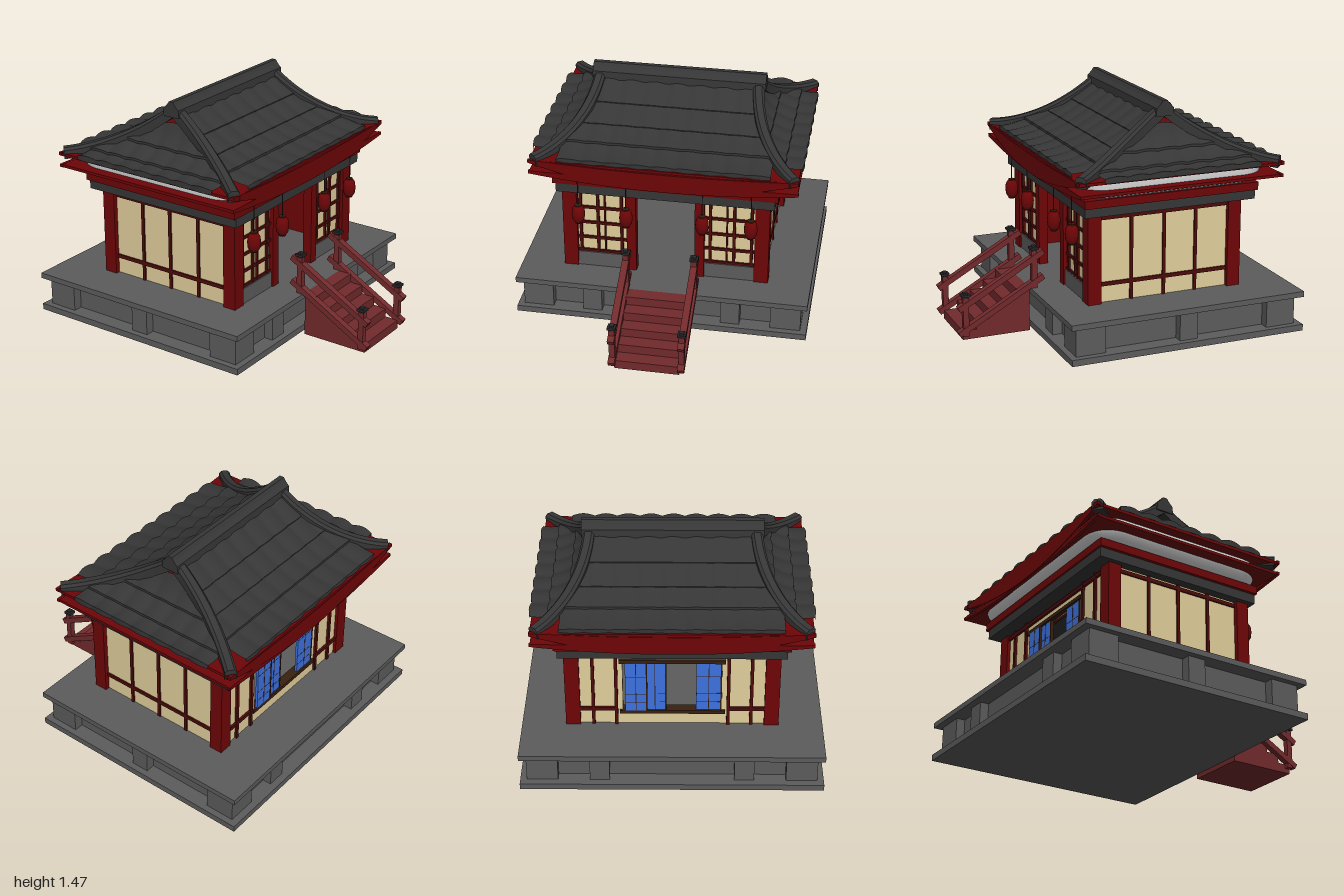
import * as THREE from 'three';
import { toCreasedNormals } from 'three/addons/utils/BufferGeometryUtils.js';

const paint = (name, color, side = THREE.FrontSide) => {
  const m = new THREE.MeshStandardMaterial({ color, side });
  m.name = name;
  return m;
};

export function createModel() {
  const stone = paint('stone', 0x5c5c5c);
  const tile = paint('roofTile', 0x363636, THREE.DoubleSide);
  const red = paint('redWood', 0x6e0507, THREE.DoubleSide);
  const lattice = paint('latticeWood', 0x4c0b09);
  const paper = paint('paper', 0xe2cf9c);
  const stairRed = paint('stairWood', 0x722a2c);
  const blue = paint('blueShutter', 0x3d72e0);
  const plaster = paint('plaster', 0xf0f0f0, THREE.DoubleSide);
  const brown = paint('darkBrown', 0x38200f);
  const iron = paint('iron', 0x2b2b2d);

  const model = new THREE.Group();
  const add = (name, geo, mat) => {
    const m = new THREE.Mesh(geo, mat);
    m.name = name;
    model.add(m);
    return m;
  };
  // Box given by its limits on each axis
  const box = (name, mat, x0, x1, y0, y1, z0, z1) => {
    const m = add(name, new THREE.BoxGeometry(x1 - x0, y1 - y0, z1 - z0), mat);
    m.position.set((x0 + x1) / 2, (y0 + y1) / 2, (z0 + z1) / 2);
    return m;
  };
  const SIDES = [-1, 1];

  // Grid surface from a rule at(i, j), used for roof sheets and lofts
  const grid = (ni, nj, at, crease = 0.6) => {
    const pos = [], idx = [];
    for (let j = 0; j <= nj; j++) for (let i = 0; i <= ni; i++) pos.push(...at(i, j));
    for (let j = 0; j < nj; j++) for (let i = 0; i < ni; i++) {
      const a = j * (ni + 1) + i, b = a + 1, c = a + ni + 1, d = c + 1;
      idx.push(a, b, d, a, d, c);
    }
    const g = new THREE.BufferGeometry();
    g.setAttribute('position', new THREE.Float32BufferAttribute(pos, 3));
    g.setIndex(idx);
    return toCreasedNormals(g, crease);
  };

  // ---- Stone platform ----
  box('platformBase', stone, -0.92, 0.92, 0.03, 0.07, -1, 0.53);
  box('platformTop', stone, -0.92, 0.92, 0.25, 0.285, -1, 0.53);
  box('platformCore', stone, -0.82, 0.82, 0.07, 0.25, -0.9, 0.43);
  for (const s of SIDES) {
    for (const [z0, z1] of [[-0.955, -0.765], [0.3, 0.49]])
      box('platformCorner', stone, s * 0.785 - 0.095, s * 0.785 + 0.095, 0.07, 0.25, z0, z1);
    box('platformSideBlock', stone, s * 0.83 - 0.05, s * 0.83 + 0.05, 0.07, 0.25, -0.295, -0.18);
    for (const z of [-0.905, 0.44])
      box('platformBlock', stone, s * 0.437 - 0.06, s * 0.437 + 0.06, 0.07, 0.25, z - 0.05, z + 0.05);
  }

  // ---- Stairs and railings ----
  for (let i = 0; i < 5; i++)
    box('step', stairRed, -0.2, 0.2, 0, 0.057 * (i + 1), 0.53, 0.965 - 0.087 * i);
  for (const s of SIDES) {
    const x = s * 0.213;
    for (const y of [0.2, 0.36]) {
      const rail = add('rail', new THREE.BoxGeometry(0.042, 0.036, 0.63), stairRed);
      rail.position.set(x, y, 0.72);
      rail.rotation.x = Math.atan2(0.315, 0.56);
    }
    for (const [z, y0, y1] of [[0.95, 0.03, 0.278], [0.505, 0.285, 0.525]]) {
      box('railPost', stairRed, x - 0.018, x + 0.018, y0, y1, z - 0.018, z + 0.018);
      box('postCap', iron, x - 0.026, x + 0.026, y1 + 0.008, y1 + 0.022, z - 0.026, z + 0.026);
      box('postNeck', iron, x - 0.014, x + 0.014, y1, y1 + 0.032, z - 0.014, z + 0.014);
    }
  }

  // ---- Walls ----
  const bar = (axis, p, a, b, y, w) => axis === 'x'
    ? box('latticeBar', lattice, a, b, y - w / 2, y + w / 2, p - 0.012, p + 0.012)
    : box('latticeBar', lattice, p - 0.012, p + 0.012, y - w / 2, y + w / 2, a, b);
  for (const s of SIDES) {
    for (const [z0, z1] of [[0.235, 0.32], [-0.69, -0.605]])
      box('cornerPost', red, s * 0.605 - 0.045, s * 0.605 + 0.045, 0.285, 0.85, z0, z1);
    // Side walls with a red lining indoors
    const x = s * 0.605;
    box('sidePanel', paper, x - 0.015, x + 0.015, 0.285, 0.85, -0.61, 0.24);
    box('sideLining', red, s * 0.58 - 0.008, s * 0.58 + 0.008, 0.285, 0.85, -0.64, 0.26);
    for (const z of [0.03, -0.185, -0.395])
      box('latticePost', lattice, s * 0.618 - 0.012, s * 0.618 + 0.012, 0.285, 0.85, z - 0.01, z + 0.01);
    for (const y of [0.4, 0.815]) bar('z', s * 0.618, -0.61, 0.24, y, 0.024);
    // Front panels
    const c = s * 0.4;
    box('doorPost', red, s * 0.215 - 0.03, s * 0.215 + 0.03, 0.285, 0.85, 0.26, 0.32);
    box('frontPlinth', stone, c - 0.16, c + 0.16, 0.285, 0.385, 0.25, 0.31);
    box('frontPanel', paper, c - 0.16, c + 0.16, 0.385, 0.85, 0.265, 0.29);
    for (const y of [0.392, 0.49, 0.6, 0.71, 0.82]) bar('x', 0.29, c - 0.16, c + 0.16, y, 0.018);
    for (const [v, w] of [[0.28, 0.018], [0.385, 0.01], [0.43, 0.018], [0.54, 0.018]])
      box('latticePost', lattice, s * v - w / 2, s * v + w / 2, 0.385, 0.85, 0.27, 0.305);
    // Back lattice posts
    for (const v of [0.34, 0.48])
      box('latticePost', lattice, s * v - 0.01, s * v + 0.01, 0.285, 0.85, -0.685, -0.65);
  }

  // Back wall around its window: paper outside, red lining indoors
  for (const [x0, x1, y0, y1] of [[-0.57, 0.57, 0.285, 0.385], [-0.57, 0.57, 0.742, 0.85],
    [-0.57, -0.3, 0.385, 0.742], [0.3, 0.57, 0.385, 0.742]]) {
    box('backPanel', paper, x0, x1, y0, y1, -0.67, -0.65);
    box('backLining', red, x0, x1, y0, y1, -0.65, -0.635);
  }
  for (const y of [0.4, 0.815]) {
    bar('x', -0.672, -0.57, -0.33, y, 0.024);
    bar('x', -0.672, 0.33, 0.57, y, 0.024);
  }
  bar('x', -0.672, -0.34, 0.34, 0.815, 0.024);
  for (const y of [0.378, 0.754])
    box('windowFrame', brown, -0.32, 0.32, y - 0.012, y + 0.012, -0.685, -0.625);
  for (const [x0, x1, z] of [[-0.295, -0.145, -0.665], [0.04, 0.17, -0.665], [0.155, 0.285, -0.677]]) {
    box('shutter', blue, x0, x1, 0.388, 0.742, z - 0.008, z + 0.008);
    box('shutterEdge', brown, x0 - 0.004, x0 + 0.004, 0.388, 0.742, z - 0.011, z + 0.011);
    const mid = (x0 + x1) / 2;
    box('shutterSeam', brown, mid - 0.002, mid + 0.002, 0.388, 0.742, z - 0.0095, z);
    for (const y of [0.45, 0.515, 0.64])
      box('shutterSeam', brown, x0, x1, y - 0.001, y + 0.001, z - 0.009, z + 0.009);
  }

  // ---- Beams and plaster cove under the eaves ----
  box('lowerBeam', tile, -0.68, 0.68, 0.84, 0.9, -0.767, 0.352);
  box('upperBeam', red, -0.7, 0.7, 0.9, 0.95, -0.778, 0.358);
  const ZC = -0.22;
  const cove = [[0, 0.95], [0.035, 0.965], [0.06, 0.99], [0.072, 1.02], [0.075, 1.08]];
  add('plasterCove', grid(28, cove.length - 1, (i, j) => {
    const k = i % 28, q = Math.floor(k / 7), a = (q + (k % 7) / 6) * Math.PI / 2;
    const sx = q === 0 || q === 3 ? 1 : -1, sz = q < 2 ? 1 : -1, [o, y] = cove[j];
    return [sx * 0.58 + Math.cos(a) * (0.1 + o), y, ZC + sz * 0.43 + Math.sin(a) * (0.1 + o)];
  }), plaster);

  // ---- Red eave boards ----
  box('upperEavePlate', red, -0.82, 0.82, 1.076, 1.094, -0.88, 0.435);
  box('lowerEavePlate', red, -0.82, 0.82, 1.002, 1.02, -0.88, 0.435);
  const crescent = (top, topMid, low, lowMid) => {
    const sh = new THREE.Shape();
    sh.moveTo(-0.825, top);
    sh.quadraticCurveTo(0, 2 * topMid - top, 0.825, top);
    sh.lineTo(0.825, low);
    sh.quadraticCurveTo(0, 2 * lowMid - low, -0.825, low);
    return new THREE.ExtrudeGeometry(sh, { depth: 0.02, bevelEnabled: false, curveSegments: 24 });
  };
  for (const s of SIDES) {
    add('upperEaveBoard', crescent(1.1, 1.075, 1.08, 0.955), red).position.z = ZC - 0.01 + s * 0.653;
    add('lowerEaveBoard', crescent(1.022, 1.015, 1.003, 0.952), red).position.z = ZC - 0.01 + s * 0.649;
  }

  // ---- Roof: d is the distance from the ridge line ----
  const hipX = d => 0.5 + 0.31 * Math.pow(d / 0.66, 1.9);
  const roofY = d => 1.09 + 0.32 * Math.pow(Math.max(0, 1 - d / 0.66), 1.6);
  const clamp = (u, m) => Math.max(-m, Math.min(m, u));
  const slopes = [];
  for (const s of SIDES) {
    slopes.push({ name: 'mainRoof', tiles: 9, top: 0, end: 0.66, rows: [0, 0.19, 0.33, 0.47, 0.64],
      at: (u, d, l) => [clamp(u, hipX(d)), roofY(d) + l, ZC + s * d] });
    slopes.push({ name: 'sideRoof', tiles: 7, top: 0.13, end: 0.66, rows: [0.13, 0.37, 0.55, 0.68],
      at: (u, d, l) => [s * hipX(d), roofY(d) + l, ZC + clamp(u, d)] });
  }
  const TW = 0.145, SEG = 8;
  for (const { name, tiles, top, end, rows, at } of slopes) {
    add(name + 'Underlay', grid(40, 16, (i, j) =>
      at((i / 20 - 1) * 0.82, top + (end - top) * j / 16, -0.012)), red);
    for (let r = 0; r + 1 < rows.length; r++) {
      const lift = rows[r + 1] < 0.35 ? 0.006 : 0.016;
      add(name + 'Tiles', grid(tiles * SEG, 6, (i, j) => {
        const t = Math.min(j, 5) / 5, hump = Math.sin(Math.PI * (i % SEG) / SEG);
        const d = rows[r] + (rows[r + 1] - rows[r]) * t + 0.01 * t * hump;
        return at((i / SEG - tiles / 2) * TW, d, j === 6 ? -0.006 : 0.004 + lift * t + 0.013 * hump);
      }), tile);
    }
  }

  // Curved hip ridges: a rounded section swept down each corner
  const section = [[-0.035, -0.035], [-0.035, 0.018], [-0.02, 0.034], [0.02, 0.034], [0.035, 0.018], [0.035, -0.035], [-0.035, -0.035]];
  for (const sx of SIDES) for (const sz of SIDES) {
    const N = 20;
    const centre = d => new THREE.Vector3(sx * hipX(d), roofY(d) + 0.004, ZC + sz * d);
    const ring = j => {
      const d = 0.645 * Math.max(0, Math.min(N, j - 1)) / N, p = centre(d);
      const dir = centre(d + 0.01).sub(centre(Math.max(0, d - 0.01))).normalize();
      const side = new THREE.Vector3(dir.z, 0, -dir.x).normalize();
      const up = new THREE.Vector3().crossVectors(dir, side).normalize();
      return { p, side, up, k: j === 0 || j === N + 2 ? 0 : 1 };
    };
    add('hipRidge', grid(6, N + 2, (i, j) => {
      const { p, side, up, k } = ring(j), [a, b] = section[i];
      return p.clone().addScaledVector(side, a * k).addScaledVector(up, b * k).toArray();
    }), tile);
  }

  // Top ridge
  const peak = new THREE.Shape([[-0.06, 1.375], [0.06, 1.375], [0.055, 1.425], [0.03, 1.45],
    [0.015, 1.472], [-0.015, 1.472], [-0.03, 1.45], [-0.055, 1.425]].map(p => new THREE.Vector2(...p)));
  const ridge = add('topRidge', new THREE.ExtrudeGeometry(peak, { depth: 1.09, bevelEnabled: false }), tile);
  ridge.rotation.y = Math.PI / 2;
  ridge.position.set(-0.545, 0, ZC);

  // ---- Hanging lanterns ----
  const body = new THREE.LatheGeometry([[0, -0.06], [0.024, -0.058], [0.038, -0.035], [0.042, 0],
    [0.038, 0.035], [0.024, 0.058], [0, 0.06]].map(p => new THREE.Vector2(...p)), 16);
  for (const x of [-0.535, -0.235, 0.24, 0.54]) {
    add('lantern', body, red).position.set(x, 0.71, 0.38);
    for (const y of [0.651, 0.769])
      add('lanternCap', new THREE.CylinderGeometry(0.022, 0.022, 0.012, 12), brown).position.set(x, y, 0.38);
    add('lanternCord', new THREE.CylinderGeometry(0.003, 0.003, 0.31, 6), iron).position.set(x, 0.925, 0.38);
  }
  return model;
}
